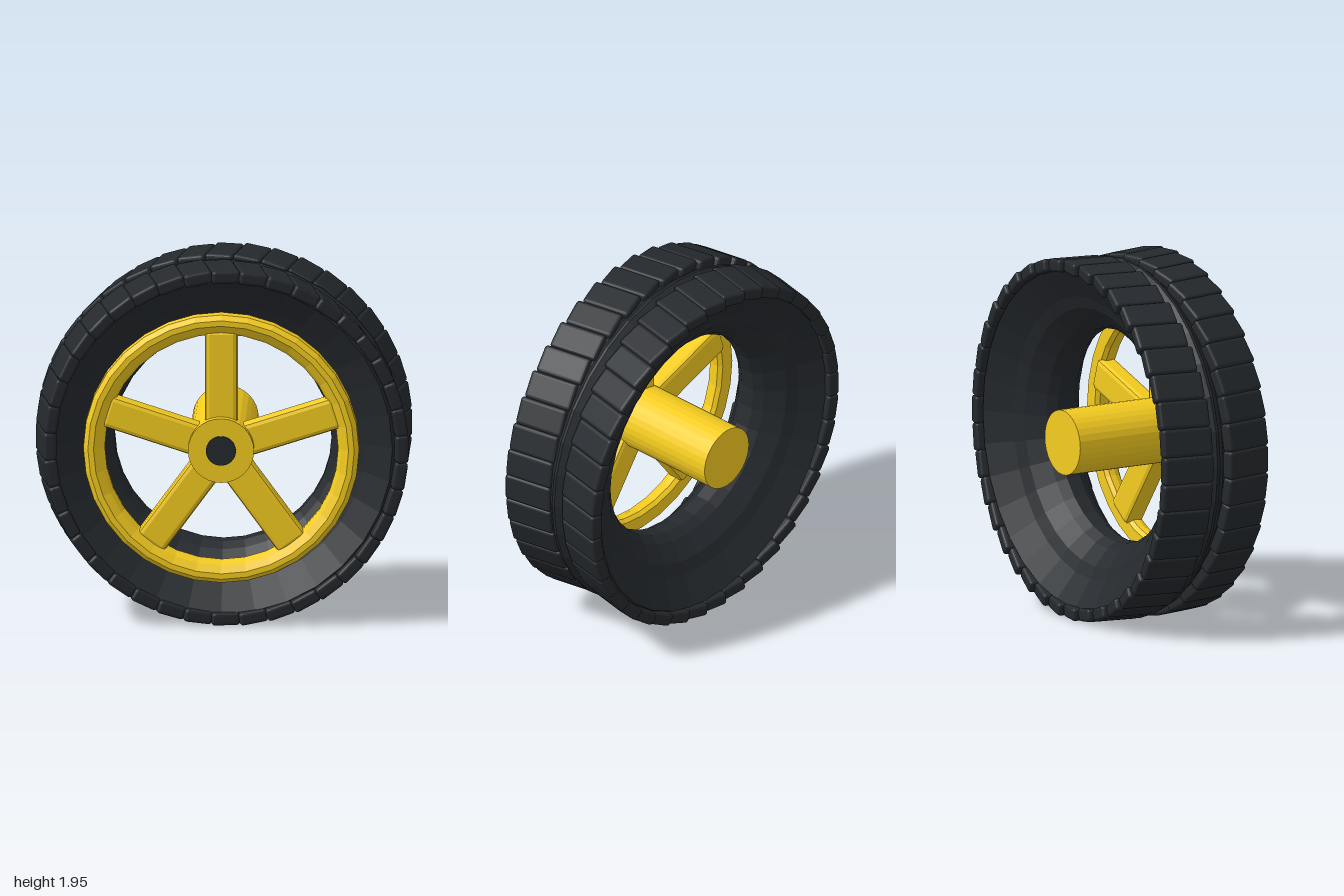
import * as THREE from 'three';
import { RoundedBoxGeometry } from 'three/addons/geometries/RoundedBoxGeometry.js';

const AXLE_Y = 0.975;
const rubber = new THREE.MeshStandardMaterial({ color: 0x25292d, flatShading: true });
const yellow = new THREE.MeshStandardMaterial({ color: 0xf5cc20, flatShading: true });

function add(parent, name, geometry, material) {
  const mesh = new THREE.Mesh(geometry, material);
  mesh.name = name;
  parent.add(mesh);
  return mesh;
}

// Closed [radius, z] outline spun about the z axis
function ring(outline, sides) {
  const points = [...outline, outline[0]].map(([r, z]) => new THREE.Vector2(r, z));
  return new THREE.LatheGeometry(points, sides).rotateX(Math.PI / 2);
}

function rod(radius, z0, z1) {
  return new THREE.CylinderGeometry(radius, radius, z1 - z0, 32)
    .rotateX(Math.PI / 2).translate(0, 0, (z0 + z1) / 2);
}

export function createModel() {
  const model = new THREE.Group();
  model.name = 'wheel';
  const wheel = new THREE.Group();
  wheel.name = 'wheelAssembly';
  wheel.position.y = AXLE_Y;
  model.add(wheel);

  // Tyre: front half of the section with a dished sidewall, mirrored to the back
  const half = [
    [0.963, 0.008], [0.935, 0.045], [0.928, 0.27], [0.912, 0.298],
    [0.765, 0.2], [0.7, 0.17], [0.61, 0.09], [0.578, 0.04],
  ];
  const back = half.map(([r, z]) => [r, -z]).reverse();
  add(wheel, 'tyre', ring([...half, ...back], 32), rubber);

  // Tread: two rows of blocks, each turned about the vertical axis
  const blockGeometry = new RoundedBoxGeometry(0.07, 0.152, 0.282, 2, 0.018);
  const count = 40;
  for (const side of [1, -1]) {
    const row = new THREE.Group();
    row.name = side > 0 ? 'frontTread' : 'backTread';
    wheel.add(row);
    for (let i = 0; i < count; i++) {
      const a = (i / count) * Math.PI * 2;
      const block = add(row, 'treadBlock', blockGeometry, rubber);
      block.position.set(0.938 * Math.cos(a), 0.938 * Math.sin(a), side * 0.185);
      block.rotation.set(0, side * 0.2, a, 'YXZ');
    }
  }

  // Rim standing proud of the dished sidewall
  add(wheel, 'rim', ring([
    [0.715, 0.235], [0.735, 0.26], [0.735, 0.325], [0.71, 0.353], [0.68, 0.353],
    [0.64, 0.325], [0.622, 0.29], [0.622, 0.255], [0.64, 0.235],
  ], 32), yellow);

  // Five spokes
  const spokeGeometry = new RoundedBoxGeometry(0.175, 0.55, 0.11, 1, 0.025).translate(0, 0.375, 0.27);
  for (let i = 0; i < 5; i++) {
    add(wheel, 'spoke', spokeGeometry, yellow).rotation.z = (i / 5) * Math.PI * 2;
  }

  // Hub and axle end
  add(wheel, 'hub', rod(0.176, -0.375, 0.368), yellow);
  add(wheel, 'axleCap', rod(0.08, 0.3, 0.376), rubber);

  return model;
}
